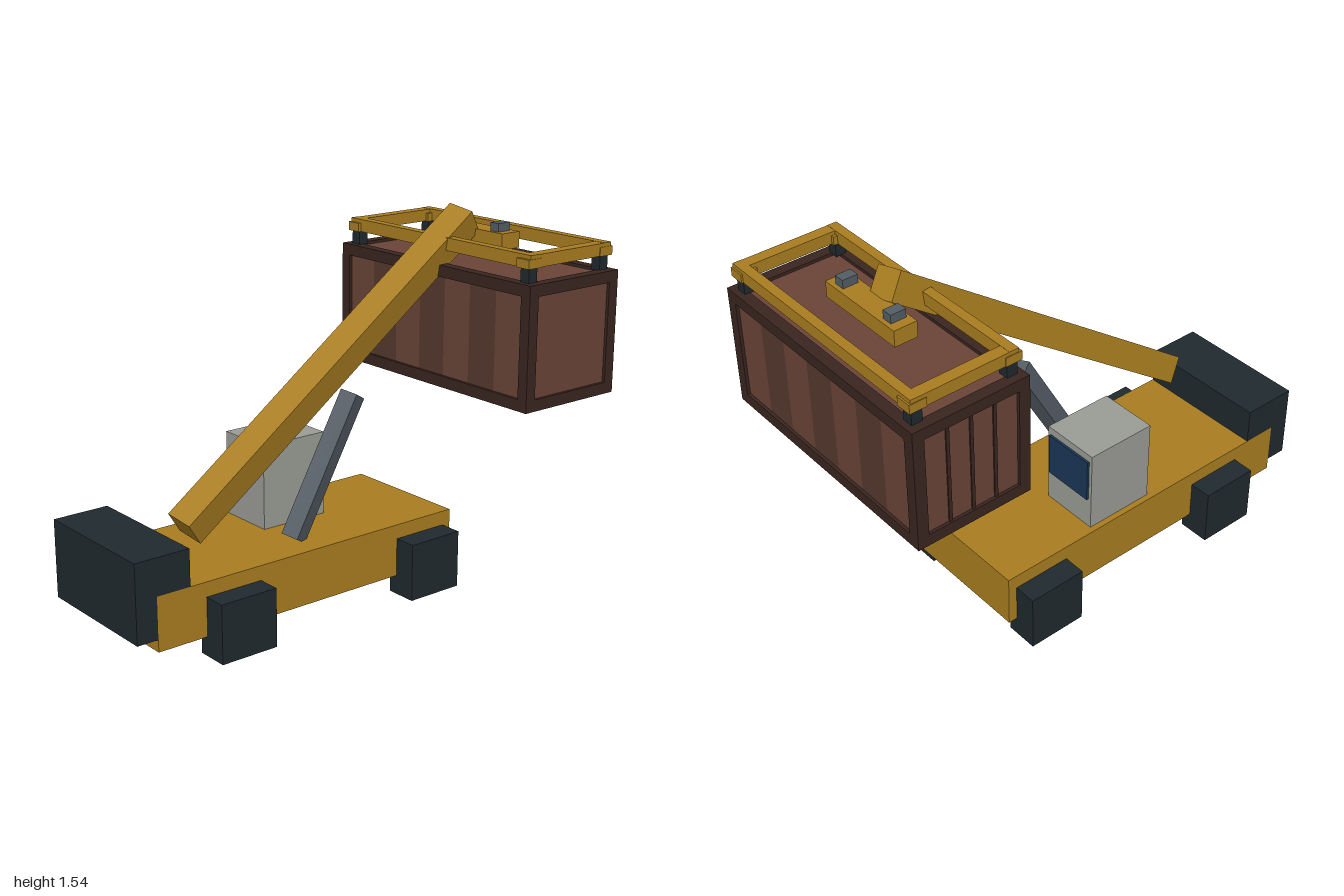
import * as THREE from 'three';

const paint = (color) => new THREE.MeshStandardMaterial({ color, flatShading: true });

export function createModel() {
  const model = new THREE.Group();
  model.name = 'containerStacker';
  const gold = paint(0xa87d20), dark = paint(0x20292e), steel = paint(0x535c64);
  const grey = paint(0x9a9c95), glass = paint(0x1b3557);
  const frameMat = paint(0x39251f), light = paint(0x694337), ribbed = paint(0x55382d);

  const group = (name) => {
    const g = new THREE.Group();
    g.name = name;
    model.add(g);
    return g;
  };
  // Box from its minimum and maximum corners
  const box = (parent, name, mat, [x0, y0, z0], [x1, y1, z1]) => {
    const mesh = new THREE.Mesh(new THREE.BoxGeometry(x1 - x0, y1 - y0, z1 - z0), mat);
    mesh.position.set((x0 + x1) / 2, (y0 + y1) / 2, (z0 + z1) / 2);
    mesh.name = name;
    parent.add(mesh);
    return mesh;
  };
  // Box from its centre and size
  const block = (parent, name, mat, [x, y, z], [w, h, d]) =>
    box(parent, name, mat, [x - w / 2, y - h / 2, z - d / 2], [x + w / 2, y + h / 2, z + d / 2]);

  // Vehicle body
  const vehicle = group('vehicle');
  box(vehicle, 'chassis', gold, [-0.44, 0.08, -0.523], [0.13, 0.3, 0.91]);
  box(vehicle, 'counterweight', dark, [-0.44, 0.13, 0.765], [0.13, 0.45, 1]);
  box(vehicle, 'cab', grey, [-0.415, 0.29, -0.09], [-0.163, 0.65, 0.212]);
  box(vehicle, 'cabWindow', glass, [-0.4, 0.435, -0.1], [-0.178, 0.618, -0.08]);
  for (const x of [-0.467, 0.158])
    for (const z of [-0.36, 0.57])
      block(vehicle, 'wheel', dark, [x, 0.12, z], [0.135, 0.24, 0.25]);

  // Sloping boom and its lift ram, each turned slightly about its own axis
  const lift = group('lift');
  block(lift, 'boom', gold, [0, 0.976, 0.004], [0.117, 0.115, 1.718]).rotation.set(0.628, 0, -0.23);
  block(lift, 'liftRam', steel, [0, 0.577, 0.042], [0.074, 0.613, 0.074]).rotation.set(-0.51, 0.37, 0);

  // Container: an edge frame, open underneath
  const container = group('container');
  const X = 0.555, Y0 = 0.815, Y1 = 1.315, Z0 = -1, Z1 = -0.51, T = 0.047;
  const cx = X - T / 2, ys = [Y0 + T / 2, Y1 - T / 2], zs = [Z0 + T / 2, Z1 - T / 2];
  const midY = (Y0 + Y1) / 2, midZ = (Z0 + Z1) / 2;
  for (const y of ys) {
    for (const z of zs) block(container, 'longRail', frameMat, [0, y, z], [2 * X, T, T]);
    for (const s of [-1, 1]) block(container, 'endRail', frameMat, [s * cx, y, midZ], [T, T, Z1 - Z0]);
  }
  for (const s of [-1, 1])
    for (const z of zs) block(container, 'cornerPost', frameMat, [s * cx, midY, z], [T, Y1 - Y0, T]);

  // Side walls of alternating panels
  const ribs = 7, ribWidth = 2 * (X - T) / ribs, wallH = Y1 - Y0 - 2 * T, wallD = Z1 - Z0 - 2 * T;
  for (const z of zs)
    for (let i = 0; i < ribs; i++)
      block(container, 'sidePanel', i % 2 ? ribbed : light,
        [(i - (ribs - 1) / 2) * ribWidth, midY, z], [ribWidth, wallH, 0.022]);
  block(container, 'roofPanel', light, [0, ys[1], midZ], [2 * (X - T), 0.022, wallD]);
  for (const s of [-1, 1])
    block(container, 'endPanel', light, [s * cx, midY, midZ], [0.022, wallH, wallD]);
  // Upright bars on the door end
  for (let i = -1; i <= 1; i++)
    block(container, 'doorBar', frameMat, [-cx, midY, midZ + i * wallD / 4], [0.032, wallH, 0.014]);

  // Spreader frame gripping the container corners
  const spreader = group('spreader');
  for (const z of [-0.96, -0.555])
    block(spreader, 'spreaderBeam', gold, [0, 1.398, z], [1.056, 0.052, 0.04]);
  for (const s of [-1, 1]) {
    block(spreader, 'spreaderEndBeam', gold, [s * 0.503, 1.398, midZ], [0.05, 0.05, 0.44]);
    for (const z of [-0.952, -0.558]) {
      block(spreader, 'cornerBlock', gold, [s * 0.498, 1.39, z], [0.066, 0.036, 0.07]);
      block(spreader, 'cornerLock', dark, [s * 0.498, 1.343, z], [0.044, 0.06, 0.044]);
    }
    block(spreader, 'headBlockLug', steel, [s * 0.14, 1.45, -0.755], [0.045, 0.045, 0.064]);
  }
  box(spreader, 'headBlock', gold, [-0.203, 1.372, -0.805], [0.2, 1.438, -0.708]);

  return model;
}
